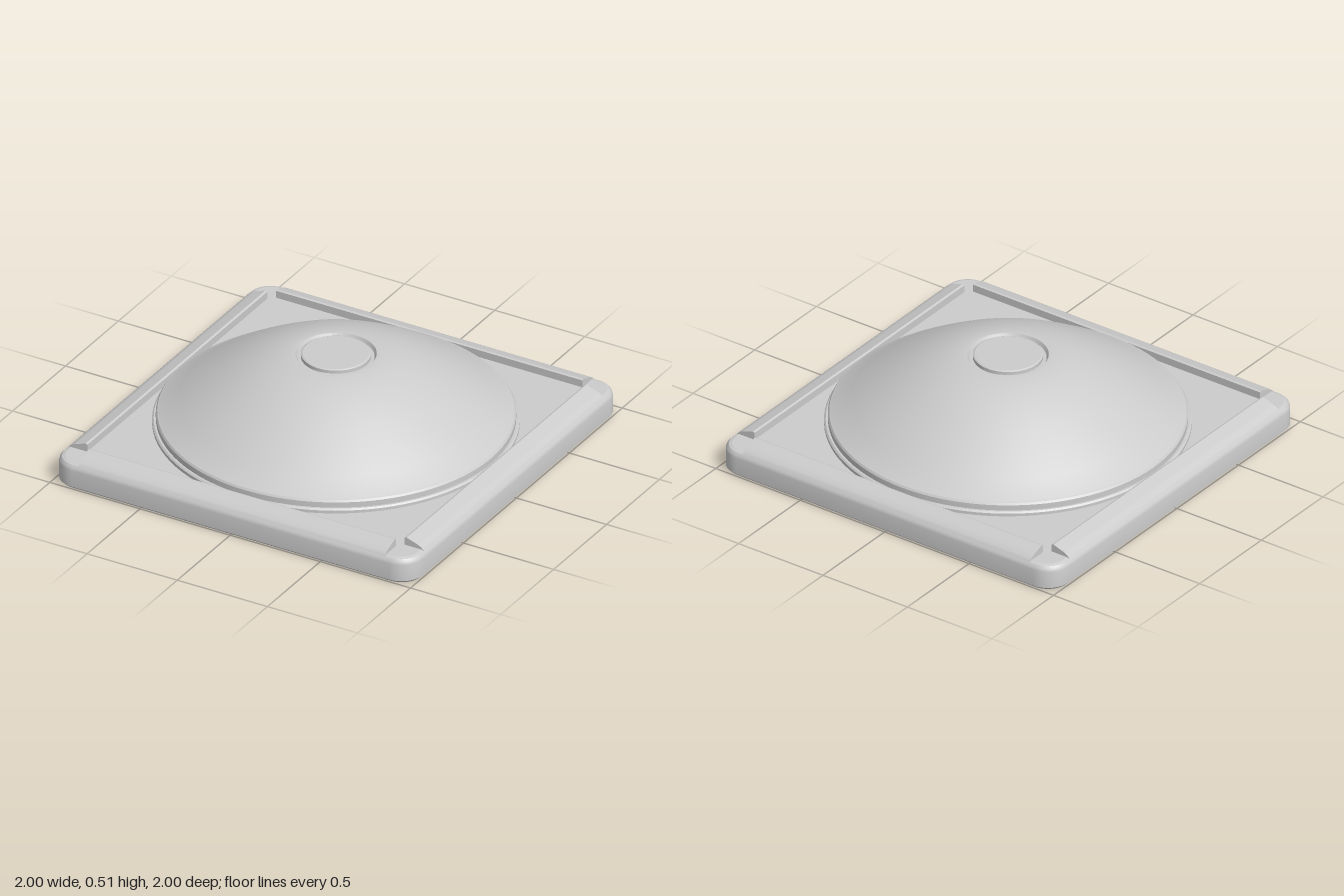
import * as THREE from 'three';
import { toCreasedNormals } from 'three/addons/utils/BufferGeometryUtils.js';

const material = new THREE.MeshStandardMaterial({ color: 0xcccccc, side: THREE.DoubleSide });
const HOLE = 0.88;

function part(name, geometry, crease = 0.5) {
  const mesh = new THREE.Mesh(toCreasedNormals(geometry, crease), material);
  mesh.name = name;
  return mesh;
}

// Counter-clockwise outline of a square with rounded corners, as [x, z] pairs
function roundedSquare(half, radius, steps = 10) {
  const points = [];
  for (let corner = 0; corner < 4; corner++) {
    const middle = Math.PI / 4 + corner * Math.PI / 2;
    const cx = Math.sign(Math.cos(middle)) * (half - radius);
    const cy = Math.sign(Math.sin(middle)) * (half - radius);
    for (let i = 0; i <= steps; i++) {
      const a = (corner + i / steps) * Math.PI / 2;
      points.push(new THREE.Vector2(cx + radius * Math.cos(a), cy + radius * Math.sin(a)));
    }
  }
  return points;
}

// Side wall lofted through inset outlines
function wallGeometry(sections) {
  const positions = [], index = [];
  let n = 0;
  for (const [inset, y] of sections) {
    const ring = roundedSquare(1 - inset, 0.12 - inset);
    n = ring.length;
    for (const p of ring) positions.push(p.x, y, -p.y);
  }
  for (let s = 0; s < sections.length - 1; s++) {
    for (let i = 0; i < n; i++) {
      const a = s * n + i, b = s * n + (i + 1) % n;
      index.push(a, b, b + n, a, b + n, a + n);
    }
  }
  const geometry = new THREE.BufferGeometry();
  geometry.setAttribute('position', new THREE.Float32BufferAttribute(positions, 3));
  geometry.setIndex(index);
  geometry.computeVertexNormals();
  return geometry;
}

// Flat plate face with the round opening
function faceGeometry(inset, y, up) {
  const shape = new THREE.Shape(roundedSquare(1 - inset, 0.12 - inset));
  shape.holes.push(new THREE.Path().absarc(0, 0, HOLE, 0, Math.PI * 2, true));
  const geometry = new THREE.ShapeGeometry(shape, 48);
  geometry.rotateX(up ? -Math.PI / 2 : Math.PI / 2);
  return geometry.translate(0, y, 0);
}

// Rounded rail along the +z edge
function railGeometry() {
  const length = 1.7;
  const shape = new THREE.Shape();
  shape.moveTo(0.88, 0.11);
  shape.lineTo(0.975, 0.09);
  shape.lineTo(0.998, 0.102);
  shape.quadraticCurveTo(0.985, 0.142, 0.94, 0.155);
  shape.lineTo(0.89, 0.172);
  shape.lineTo(0.88, 0.168);
  shape.closePath();
  const geometry = new THREE.ExtrudeGeometry(shape, { depth: length, bevelEnabled: false, curveSegments: 8 });
  return geometry.translate(0, 0, -length / 2).rotateY(-Math.PI / 2);
}

// Hollow dome with its seating ring, crown groove and underside recess
function domeGeometry() {
  const inner = [
    [0, 0.465], [0.165, 0.465], [0.165, 0.435], [0.22, 0.428], [0.4, 0.385],
    [0.55, 0.315], [0.68, 0.23], [0.78, 0.145], [0.8, 0.12], [0.8, 0],
  ];
  const ring = [
    [0.86, 0], [0.86, 0.03], [HOLE, 0.03], [HOLE, 0.145], [0.872, 0.152],
    [0.862, 0.152], [0.862, 0.18], [0.855, 0.19], [0.845, 0.194],
  ];
  const outer = [
    [0.75, 0.258], [0.65, 0.32], [0.53, 0.391], [0.4, 0.455], [0.31, 0.486], [0.22, 0.508],
  ];
  const crown = [[0.195, 0.508], [0.185, 0.49], [0.168, 0.49], [0.168, 0.508], [0.16, 0.512], [0, 0.512]];
  const profile = [...inner, ...ring, ...outer, ...crown].map(([r, y]) => new THREE.Vector2(r, y));
  return new THREE.LatheGeometry(profile, 96);
}

export function createModel() {
  const model = new THREE.Group();
  model.name = 'domedSkylight';

  // Square base plate
  const plate = new THREE.Group();
  plate.name = 'basePlate';
  plate.add(
    part('plateWall', wallGeometry([[0.012, 0], [0, 0.012], [0, 0.1], [0.004, 0.114], [0.014, 0.125], [0.03, 0.13]])),
    part('plateTop', faceGeometry(0.03, 0.13, true)),
    part('plateUnderside', faceGeometry(0.012, 0, false)),
  );
  const bore = new THREE.CylinderGeometry(HOLE, HOLE, 0.13, 96, 1, true).translate(0, 0.065, 0);
  plate.add(part('plateOpening', bore));
  model.add(plate);

  // One rail per side
  ['Front', 'Left', 'Back', 'Right'].forEach((side, i) => {
    const rail = part('rail' + side, railGeometry());
    rail.rotation.y = Math.PI + i * Math.PI / 2;
    if (i === 0 || i === 2) rail.rotation.y = i * Math.PI / 2;
    else rail.rotation.y = i * Math.PI / 2;
    model.add(rail);
  });

  model.add(part('dome', domeGeometry(), 0.35));
  return model;
}
